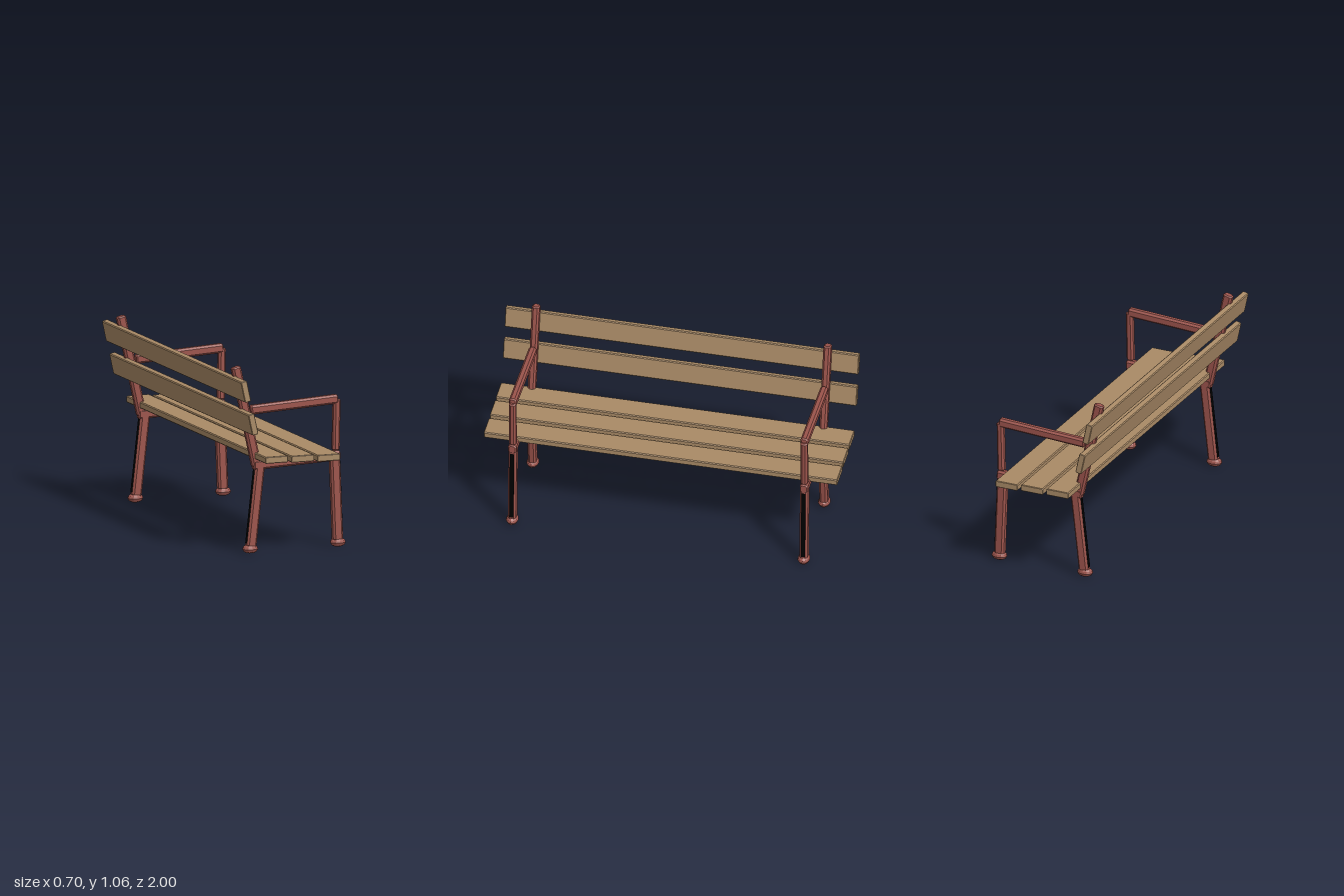
import * as THREE from 'three';

const iron = new THREE.MeshStandardMaterial({ color: 0x9c544c });
iron.name = 'red iron';
const wood = new THREE.MeshStandardMaterial({ color: 0xa98a66 });
wood.name = 'brown wood';
const dark = new THREE.MeshStandardMaterial({ color: 0x000000 });
dark.name = 'black inlay';

// Bar of length len along +y, centred, w (x) by d (z), with chamfered edges and ends
function chamferedBar(w, d, len, c) {
  const x = w / 2, z = d / 2;
  const shape = new THREE.Shape([
    [x - c, -z], [x, -z + c], [x, z - c], [x - c, z],
    [-x + c, z], [-x, z - c], [-x, -z + c], [-x + c, -z],
  ].map(([a, b]) => new THREE.Vector2(a, b)));
  const e = c * 0.6;
  const geo = new THREE.ExtrudeGeometry(shape, {
    depth: len - 2 * e, bevelEnabled: true, bevelThickness: e,
    bevelSize: e, bevelOffset: -e, bevelSegments: 1,
  });
  geo.translate(0, 0, e - len / 2);
  geo.rotateX(-Math.PI / 2);
  return geo;
}

// Bar in the xy plane running from point a to point b
function ironBar(name, a, b, w, d) {
  const dx = b[0] - a[0], dy = b[1] - a[1];
  const mesh = new THREE.Mesh(chamferedBar(w, d, Math.hypot(dx, dy), 0.011), iron);
  mesh.name = name;
  mesh.position.set((a[0] + b[0]) / 2, (a[1] + b[1]) / 2, 0);
  mesh.rotation.z = Math.atan2(-dx, dy);
  return mesh;
}

// Leg with a black strip along its outward face and a flattened foot
function leg(name, bottom, top, side) {
  const group = new THREE.Group();
  group.name = name;
  const bar = ironBar(name + 'Bar', bottom, top, 0.058, 0.046);
  const strip = new THREE.Mesh(new THREE.BoxGeometry(0.003, 0.43, 0.024), dark);
  strip.name = name + 'Strip';
  strip.position.x = side * 0.0285;
  bar.add(strip);

  const profile = [[0, 0.003], [0.022, 0.003], [0.038, 0.011], [0.046, 0.025], [0.041, 0.037], [0.028, 0.047], [0, 0.047]];
  const footGeo = new THREE.LatheGeometry(profile.map(([r, y]) => new THREE.Vector2(r, y)), 12).toNonIndexed();
  footGeo.scale(1, 1, 0.76);
  footGeo.computeVertexNormals();
  const foot = new THREE.Mesh(footGeo, iron);
  foot.name = name + 'Foot';
  foot.position.set(bottom[0] + side * 0.003, -0.003, 0);
  group.add(bar, foot);
  return group;
}

// One end frame: legs, rail, back post and armrest
function endFrame(name, z) {
  const frame = new THREE.Group();
  frame.name = name;
  frame.add(
    leg('frontLeg', [0.299, 0.035], [0.281, 0.495], 1),
    leg('backLeg', [-0.22, 0.035], [-0.168, 0.495], -1),
    ironBar('seatRail', [-0.208, 0.492], [0.311, 0.512], 0.055, 0.046),
    ironBar('backPost', [-0.187, 0.488], [-0.311, 1.051], 0.054, 0.043),
    ironBar('armPost', [0.288, 0.54], [0.294, 0.828], 0.042, 0.04),
    ironBar('armrest', [-0.223, 0.803], [0.298, 0.829], 0.052, 0.043),
  );
  frame.position.z = z;
  return frame;
}

// Board spanning the full length of the bench along z
function slat(name, x, y, w, h, angle) {
  const geo = chamferedBar(w, h, 2, 0.005);
  geo.rotateX(Math.PI / 2);
  const mesh = new THREE.Mesh(geo, wood);
  mesh.name = name;
  mesh.position.set(x, y, 0);
  mesh.rotation.z = angle;
  return mesh;
}

export function createModel() {
  const bench = new THREE.Group();
  bench.name = 'bench';
  bench.add(endFrame('endFrameFront', 0.825), endFrame('endFrameBack', -0.825));

  // Seat boards
  [[-0.136, 0.546], [0.02, 0.541], [0.176, 0.535]].forEach(([x, y], i) =>
    bench.add(slat('seatSlat' + (i + 1), x, y, 0.136, 0.037, 0)));

  // Backrest boards, behind the posts
  [[-0.32, 0.941], [-0.276, 0.754]].forEach(([x, y], i) =>
    bench.add(slat('backSlat' + (i + 1), x, y, 0.036, 0.12, 0.215)));

  return bench;
}
